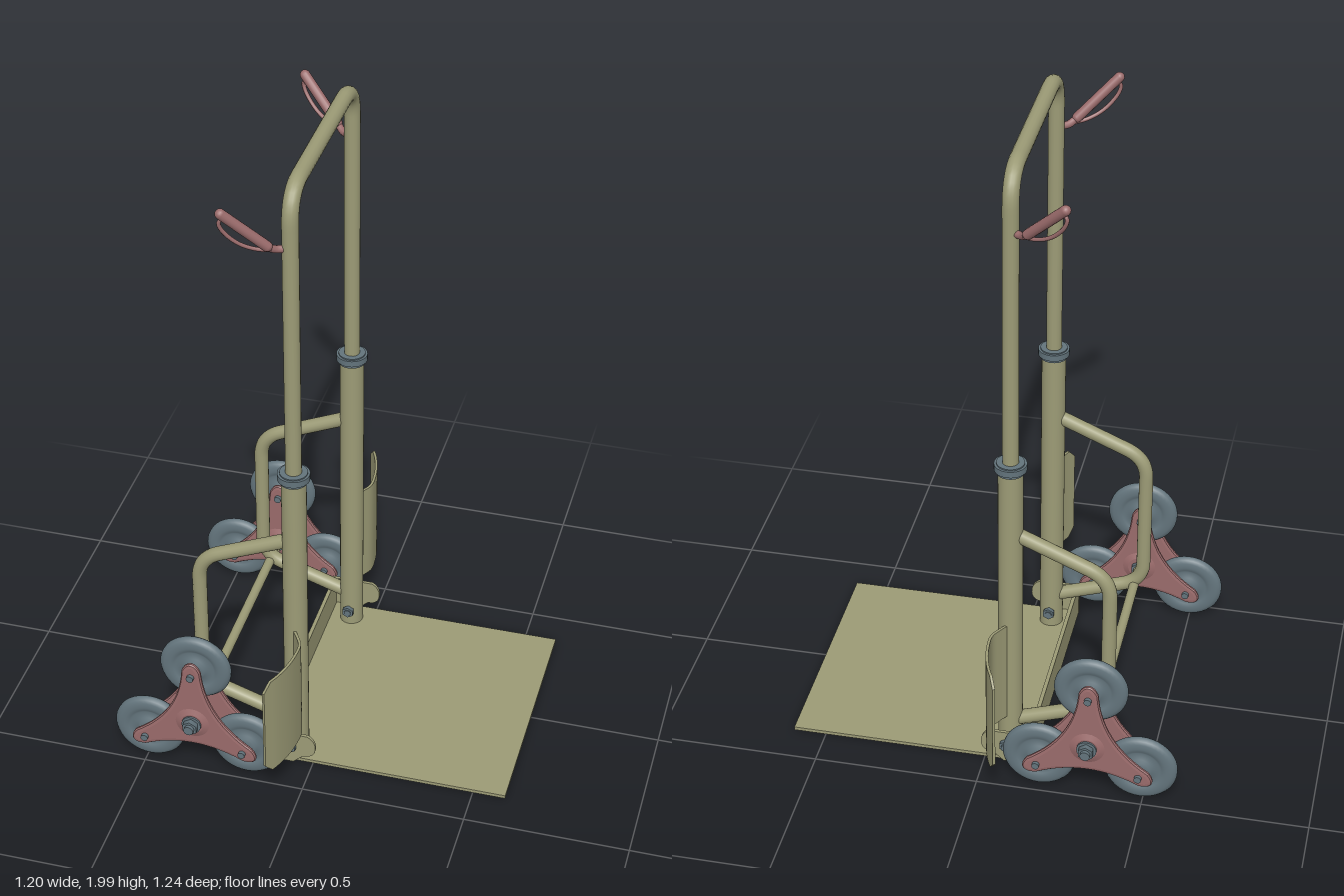
import * as THREE from 'three';

const V = (x, y, z) => new THREE.Vector3(x, y, z);
const material = (color) => new THREE.MeshStandardMaterial({ color });
const olive = material(0x9c9b76), red = material(0x9a6b6b), steel = material(0x63747c);

const POST_X = -0.067, POST_Z = 0.32;
const AXLE = V(-0.337, 0.213, 0);

function add(parent, name, geometry, mat, x = 0, y = 0, z = 0) {
  const mesh = new THREE.Mesh(geometry, mat);
  mesh.name = name;
  mesh.position.set(x, y, z);
  parent.add(mesh);
  return mesh;
}

// Cylinder lying along z
function zRod(r, length, sides = 20) {
  return new THREE.CylinderGeometry(r, r, length, sides).rotateX(Math.PI / 2);
}

// Tube through points, with each inner corner rounded
function bentTube(points, bend, r, segments = 80) {
  const path = new THREE.CurvePath();
  let from = points[0];
  for (let i = 1; i < points.length - 1; i++) {
    const p = points[i];
    const a = p.clone().add(points[i - 1].clone().sub(p).setLength(bend));
    const b = p.clone().add(points[i + 1].clone().sub(p).setLength(bend));
    path.add(new THREE.LineCurve3(from, a));
    path.add(new THREE.QuadraticBezierCurve3(a, p, b));
    from = b;
  }
  path.add(new THREE.LineCurve3(from, points[points.length - 1]));
  return new THREE.TubeGeometry(path, segments, r, 16);
}

// Wheel: rounded tyre, recessed rim and raised hub
function wheelGeometry() {
  const half = [[0.012, 0.022], [0.03, 0.022], [0.036, 0.013], [0.058, 0.01], [0.066, 0.015],
    [0.078, 0.018], [0.094, 0.017], [0.104, 0.012], [0.11, 0.004]];
  const profile = [...half, ...half.map(([r, h]) => [r, -h]).reverse()];
  const pts = profile.map(([r, h]) => new THREE.Vector2(r, h)).reverse();
  return new THREE.LatheGeometry(pts, 40).rotateX(Math.PI / 2);
}

// Three-armed carrier plate with hollow sides and rounded tips
function carrierGeometry() {
  const shape = new THREE.Shape();
  const at = (r, a) => [r * Math.cos(a), r * Math.sin(a)];
  for (let i = 0; i < 3; i++) {
    const a = Math.PI / 2 + (i * 2 * Math.PI) / 3;
    const start = at(0.192, a - 0.09), end = at(0.192, a + 0.09);
    if (i === 0) shape.moveTo(...start);
    shape.quadraticCurveTo(...at(0.23, a), ...end);
    const next = at(0.192, a + (2 * Math.PI) / 3 - 0.09);
    shape.quadraticCurveTo(...at(0.035, a + Math.PI / 3), ...next);
  }
  return new THREE.ExtrudeGeometry(shape, {
    depth: 0.006, bevelThickness: 0.006, bevelSize: 0.012, bevelSegments: 2, curveSegments: 14,
  }).translate(0, 0, -0.003);
}

function wheelCluster(s) {
  const g = new THREE.Group();
  g.name = 'wheelCluster';
  g.position.set(AXLE.x, AXLE.y, s * 0.46);
  const wheel = wheelGeometry(), carrier = carrierGeometry();
  for (const z of [-0.045, 0.045]) {
    add(g, 'carrierPlate', carrier, red, 0, 0, z);
    add(g, 'carrierBoss', new THREE.CylinderGeometry(0.035, 0.055, 0.008, 24)
      .rotateX(Math.sign(z) * Math.PI / 2), red, 0, 0, z + Math.sign(z) * 0.012);
  }
  for (let i = 0; i < 3; i++) {
    const a = Math.PI / 2 + (i * 2 * Math.PI) / 3;
    const x = 0.177 * Math.cos(a), y = 0.177 * Math.sin(a);
    add(g, 'wheel', wheel, steel, x, y, 0);
    add(g, 'wheelBolt', zRod(0.011, 0.13), steel, x, y, 0);
  }
  // Hub sleeve, washer, nut and axle tip
  add(g, 'hubSleeve', zRod(0.024, 0.12), steel);
  add(g, 'washer', zRod(0.03, 0.006), steel, 0, 0, s * 0.064);
  add(g, 'axleNut', zRod(0.024, 0.018, 6), steel, 0, 0, s * 0.075);
  add(g, 'axleTip', zRod(0.015, 0.03), steel, 0, 0, s * 0.08);
  add(g, 'innerNut', zRod(0.024, 0.016, 6), steel, 0, 0, -s * 0.068);
  return g;
}

// Curved side panel: a thin box bent along a plan curve, outer corners cut off
function sidePanel(s) {
  const plan = new THREE.CatmullRomCurve3([[-0.062, 0.352], [-0.045, 0.378], [-0.029, 0.41],
    [-0.029, 0.46], [-0.038, 0.515], [-0.056, 0.57], [-0.08, 0.617]].map(([x, z]) => V(x, 0, z)));
  const geo = new THREE.BoxGeometry(0.008, 0.34, 1, 1, 1, 40);
  const pos = geo.attributes.position;
  for (let i = 0; i < pos.count; i++) {
    const u = pos.getZ(i) + 0.5;
    const t = THREE.MathUtils.clamp(s > 0 ? u : 1 - u, 0, 1);
    const p = plan.getPointAt(t), d = plan.getTangentAt(t), off = pos.getX(i);
    const cut = 0.03 * Math.max(0, (t - 0.9) / 0.1);
    const y = pos.getY(i);
    pos.setXYZ(i, p.x + d.z * off, y - Math.sign(y) * cut, s * (p.z - d.x * off));
  }
  geo.computeVertexNormals();
  return geo;
}

// Hinge cheek beside the toe plate
function bracketGeometry() {
  const shape = new THREE.Shape();
  shape.moveTo(-0.147, 0.014);
  shape.lineTo(-0.06, 0.014);
  shape.lineTo(-0.03, 0.042);
  shape.lineTo(-0.01, 0.046);
  shape.quadraticCurveTo(0.01, 0.055, 0.01, 0.08);
  shape.quadraticCurveTo(0.01, 0.11, -0.015, 0.123);
  shape.lineTo(-0.147, 0.123);
  return new THREE.ExtrudeGeometry(shape, { depth: 0.01, bevelEnabled: false }).translate(0, 0, -0.005);
}

function brakeHandle(s) {
  const g = new THREE.Group();
  g.name = 'brakeHandle';
  const low = V(-0.115, 1.815, s * 0.352), high = V(-0.24, 1.942, s * 0.413);
  const dir = high.clone().sub(low);
  const grip = add(g, 'grip', new THREE.CapsuleGeometry(0.015, dir.length() - 0.02, 6, 14), red);
  grip.position.copy(low).lerp(high, 0.5);
  grip.quaternion.setFromUnitVectors(V(0, 1, 0), dir.normalize());
  const stem = new THREE.CatmullRomCurve3([V(POST_X, 1.805, s * POST_Z), V(-0.1, 1.806, s * 0.338), low]);
  add(g, 'gripStem', new THREE.TubeGeometry(stem, 10, 0.011, 10), red);
  const lever = new THREE.CatmullRomCurve3([V(-0.1, 1.806, s * 0.342), V(-0.15, 1.815, s * 0.366),
    V(-0.195, 1.84, s * 0.388), V(-0.232, 1.885, s * 0.407), V(-0.238, 1.91, s * 0.411),
    V(-0.226, 1.926, s * 0.406)]);
  add(g, 'brakeLever', new THREE.TubeGeometry(lever, 30, 0.006, 8), red);
  return g;
}

export function createModel() {
  const model = new THREE.Group();
  model.name = 'stairClimbingHandTruck';

  // Telescoping handle arch
  add(model, 'handleArch', bentTube([V(POST_X, 1.0, POST_Z), V(POST_X, 1.976, POST_Z),
    V(POST_X, 1.976, -POST_Z), V(POST_X, 1.0, -POST_Z)], 0.1, 0.024, 160), olive);

  // Toe plate, its upright back edge and the axle
  add(model, 'toePlate', new THREE.BoxGeometry(0.745, 0.011, 0.76), olive, 0.2275, 0.0185, 0);
  add(model, 'toePlateBack', new THREE.BoxGeometry(0.012, 0.108, 0.76), olive, -0.14, 0.069, 0);
  add(model, 'axle', zRod(0.015, 0.9), olive, AXLE.x, AXLE.y, 0);

  for (const s of [1, -1]) {
    const side = new THREE.Group();
    side.name = s > 0 ? 'leftSide' : 'rightSide';
    model.add(side);
    const z = s * POST_Z;

    // Lower post with collar
    add(side, 'lowerPost', new THREE.CylinderGeometry(0.037, 0.037, 1.015, 28), olive, POST_X, 0.5275, z);
    add(side, 'collar', new THREE.CylinderGeometry(0.048, 0.048, 0.02, 28), steel, POST_X, 1.046, z);
    add(side, 'collarLip', new THREE.CylinderGeometry(0.041, 0.041, 0.034, 28), steel, POST_X, 1.043, z);

    // Bent support between post and axle
    add(side, 'axleSupport', bentTube([V(POST_X, 0.818, z), V(-0.363, 0.69, z),
      V(-0.363, 0.225, z), V(POST_X, 0.125, z)], 0.07, 0.022, 100), olive);

    // Hinge bracket and bolt
    add(side, 'hingeBracket', bracketGeometry(), olive, 0, 0, s * 0.385);
    add(side, 'hingeBolt', zRod(0.011, 0.15), steel, POST_X, 0.08, s * 0.338);
    add(side, 'hingeNut', zRod(0.019, 0.014, 6), steel, POST_X, 0.08, s * 0.398);
    add(side, 'hingeBoltHead', zRod(0.019, 0.014, 6), steel, POST_X, 0.08, s * 0.274);

    add(side, 'sidePanel', sidePanel(s), olive, 0, 0.33, 0);
    side.add(wheelCluster(s), brakeHandle(s));
  }
  return model;
}
